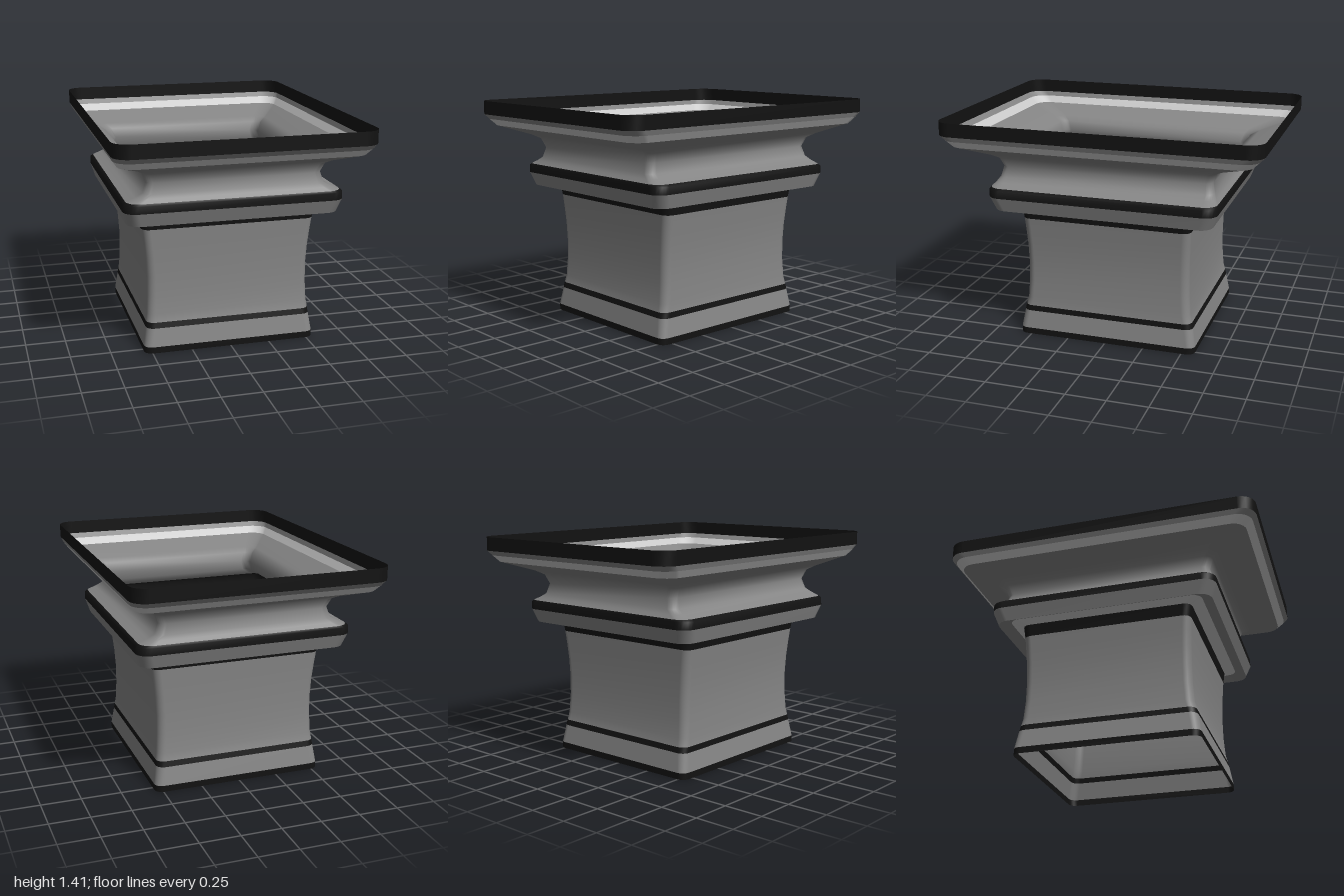
import * as THREE from 'three';

const material = (color) => new THREE.MeshStandardMaterial({ color, side: THREE.DoubleSide });
const grey = material(0x858585);
const light = material(0xcccccc);
const dark = material(0x121212);
const CORNER = 6; // segments per rounded corner

// Rounded rectangle, counter-clockwise from +x towards +z
function ring([y, hx, hz, r = 0.05]) {
  const pts = [];
  [[1, 1], [-1, 1], [-1, -1], [1, -1]].forEach(([sx, sz], q) => {
    for (let i = 0; i <= CORNER; i++) {
      const a = (q + i / CORNER) * Math.PI / 2;
      pts.push(sx * (hx - r) + r * Math.cos(a), y, sz * (hz - r) + r * Math.sin(a));
    }
  });
  return pts;
}

// Thin shell skinned through rings of [y, halfWidth, halfDepth, cornerRadius]
function shell(name, material, sections) {
  const n = 4 * (CORNER + 1);
  const index = [];
  for (let s = 0; s < sections.length - 1; s++) {
    for (let i = 0; i < n; i++) {
      const a = s * n + i, b = s * n + (i + 1) % n;
      index.push(a, a + n, b, b, a + n, b + n);
    }
  }
  const geo = new THREE.BufferGeometry();
  geo.setAttribute('position', new THREE.Float32BufferAttribute(sections.flatMap(ring), 3));
  geo.setIndex(index);
  geo.computeVertexNormals();
  const mesh = new THREE.Mesh(geo, material);
  mesh.name = name;
  return mesh;
}

export function createModel() {
  const group = new THREE.Group();
  group.name = 'flaredSquareCollar';
  group.add(
    // Foot with its two dark trims
    shell('footTrim', dark, [[0, 0.547, 0.58], [0.04, 0.547, 0.58]]),
    shell('foot', grey, [[0.04, 0.547, 0.58], [0.155, 0.53, 0.56]]),
    shell('lowerTrim', dark, [[0.155, 0.53, 0.56], [0.19, 0.526, 0.552]]),
    // Waisted trunk
    shell('trunk', grey, [
      [0.19, 0.526, 0.552], [0.24, 0.52, 0.54], [0.36, 0.515, 0.531], [0.48, 0.515, 0.529],
      [0.6, 0.523, 0.531], [0.7, 0.534, 0.536], [0.785, 0.545, 0.541],
    ]),
    shell('trunkTrim', dark, [[0.785, 0.545, 0.541], [0.86, 0.555, 0.55]]),
    // Ledge joining the trunk to the wider ring
    shell('ledgeInner', light, [[0.86, 0.555, 0.55], [0.885, 0.6, 0.62, 0.06]]),
    shell('ledgeOuter', grey, [[0.885, 0.6, 0.62, 0.06], [0.855, 0.655, 0.69, 0.08]]),
    // Middle ring
    shell('middleRing', grey, [[0.855, 0.655, 0.69, 0.08], [0.94, 0.68, 0.722, 0.08]]),
    shell('middleTrim', dark, [
      [0.94, 0.68, 0.722, 0.08], [0.985, 0.678, 0.722, 0.08], [0.998, 0.66, 0.715, 0.08],
    ]),
    // Concave neck sweeping out to the rim
    shell('neck', grey, [
      [0.998, 0.66, 0.715, 0.08], [1.02, 0.605, 0.697, 0.06], [1.045, 0.56, 0.684],
      [1.108, 0.54, 0.668], [1.167, 0.565, 0.69], [1.195, 0.61, 0.745, 0.07],
      [1.257, 0.738, 0.93, 0.09],
    ]),
    // Rim with a light slope, a narrow lip and a dark upright band
    shell('rimSlope', light, [[1.257, 0.738, 0.93, 0.09], [1.3, 0.768, 0.973, 0.1]]),
    shell('rimLip', grey, [[1.3, 0.768, 0.973, 0.1], [1.33, 0.78, 1, 0.1]]),
    shell('rimTrim', dark, [[1.33, 0.78, 1, 0.1], [1.415, 0.78, 1, 0.1]]),
  );
  return group;
}
